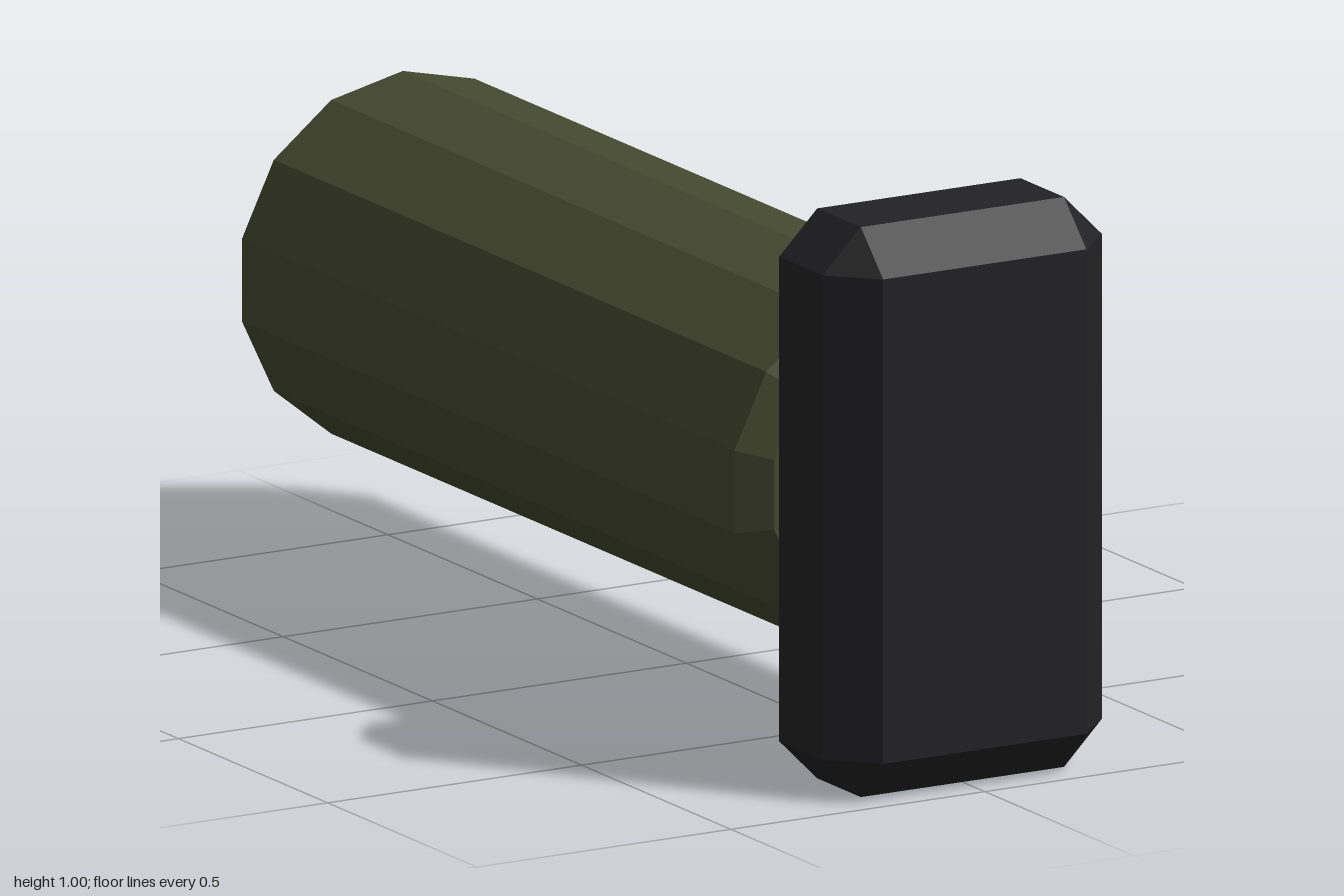
import * as THREE from 'three';
import { ConvexGeometry } from 'three/addons/geometries/ConvexGeometry.js';

// Box with flat chamfers on every edge and triangular corners
function chamferedBox(w, h, d, c) {
  const points = [];
  for (const x of [-1, 1]) for (const y of [-1, 1]) for (const z of [-1, 1]) {
    for (let axis = 0; axis < 3; axis++) {
      const inset = [c, c, c];
      inset[axis] = 0;
      points.push(new THREE.Vector3(
        x * (w / 2 - inset[0]), y * (h / 2 - inset[1]), z * (d / 2 - inset[2])));
    }
  }
  return new ConvexGeometry(points);
}

// Closed, chamfered prism lying along z from z0 to z1
function chamferedRod(radius, z0, z1, c, sides) {
  const profile = [
    [0, z0], [radius - c, z0], [radius, z0 + c],
    [radius, z1 - c], [radius - c, z1], [0, z1],
  ].map(([r, z]) => new THREE.Vector2(r, z));
  return new THREE.LatheGeometry(profile, sides).rotateX(Math.PI / 2);
}

export function createModel() {
  const group = new THREE.Group();
  group.name = 'hammer head';

  const add = (name, geometry, color, y, z) => {
    const material = new THREE.MeshStandardMaterial({ color, flatShading: true });
    const mesh = new THREE.Mesh(geometry, material);
    mesh.name = name;
    mesh.position.set(0, y, z);
    group.add(mesh);
  };

  // Upright end block at the front
  add('endBlock', chamferedBox(0.55, 1, 0.296, 0.075), 0x222224, 0.5, 0.852);
  // Fourteen-sided shaft running back from the block
  add('shaft', chamferedRod(0.325, -1, 0.75, 0.05, 14), 0x44482f, 0.5, 0);

  return group;
}
